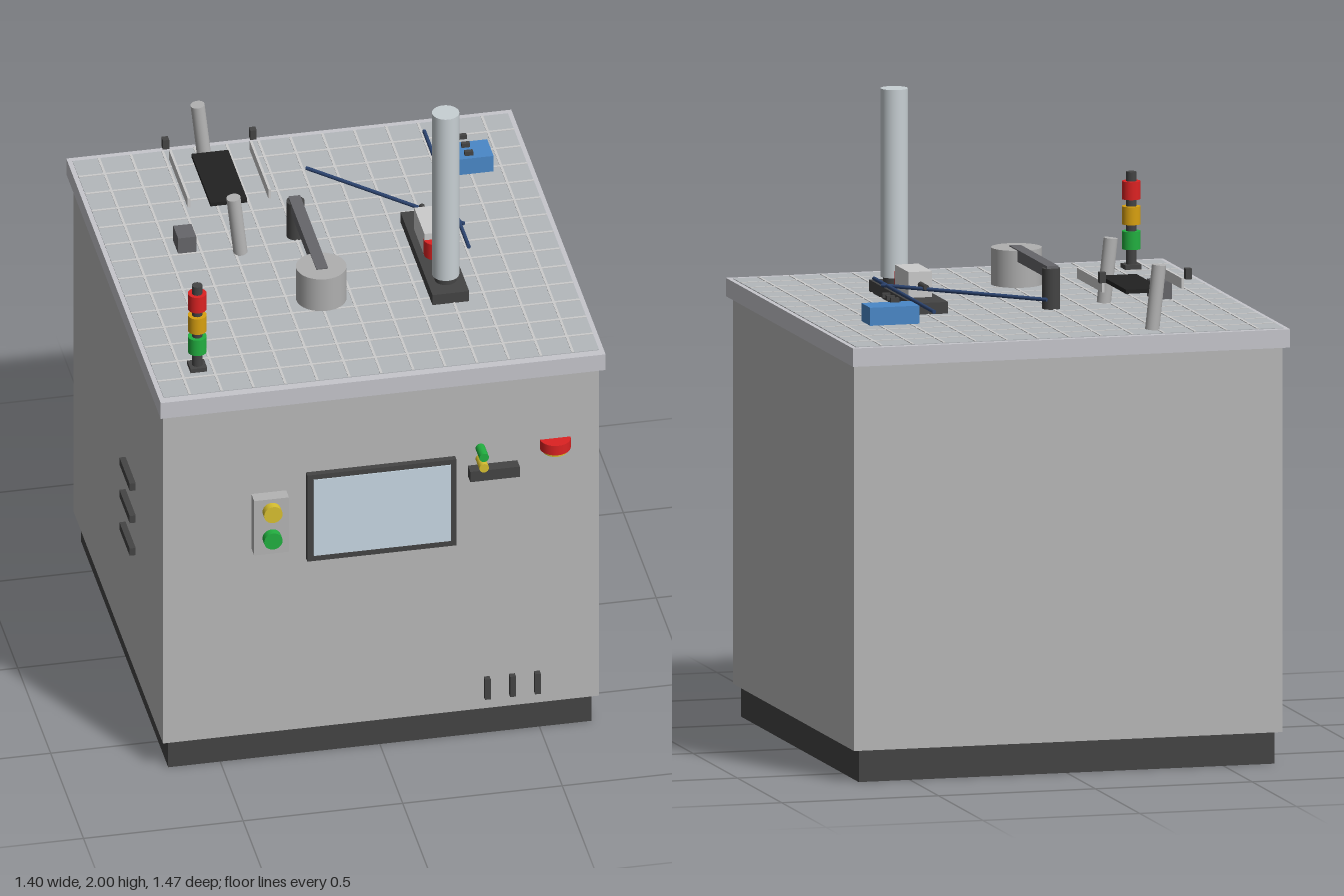
import * as THREE from 'three';

const mat = (color) => new THREE.MeshStandardMaterial({ color });
const grey = mat(0xcccccc), dark = mat(0x444444), black = mat(0x222222), steel = mat(0x808080);
const red = mat(0xdd2222), yellow = mat(0xd8c030), amber = mat(0xd8a010), green = mat(0x22b040);
const blue = mat(0x4a88c8), navy = mat(0x2c4470), glass = mat(0xc8d8e4), mid = mat(0x66666a);

export function createModel() {
  const root = new THREE.Group();

  const add = (name, geo, material, x, y, z, parent = root) => {
    const m = new THREE.Mesh(geo, material);
    m.name = name;
    m.position.set(x, y, z);
    parent.add(m);
    return m;
  };
  // box given by its extents on each axis
  const box = (name, material, [x0, x1], [y0, y1], [z0, z1], parent) =>
    add(name, new THREE.BoxGeometry(x1 - x0, y1 - y0, z1 - z0), material,
      (x0 + x1) / 2, (y0 + y1) / 2, (z0 + z1) / 2, parent);
  // upright cylinder from y0 to y1
  const post = (name, material, r, x, z, y0, y1, parent) =>
    add(name, new THREE.CylinderGeometry(r, r, y1 - y0, 32), material, x, (y0 + y1) / 2, z, parent);
  // round bar between two points
  const rod = (name, material, r, a, b) => {
    const p = new THREE.Vector3(...a), q = new THREE.Vector3(...b);
    const m = add(name, new THREE.CylinderGeometry(r, r, p.distanceTo(q), 24), material, 0, 0, 0);
    m.position.copy(p).add(q).multiplyScalar(0.5);
    m.quaternion.setFromUnitVectors(new THREE.Vector3(0, 1, 0), q.sub(p).normalize());
    return m;
  };

  // cabinet
  box('plinth', dark, [-0.663, 0.663], [0, 0.1], [-0.677, 0.652]);
  box('cabinet', mat(0xb8b8b8), [-0.683, 0.683], [0.1, 1.3], [-0.695, 0.67]);
  box('worktop', mat(0xc6c6cc), [-0.697, 0.697], [1.3, 1.357], [-0.733, 0.703]);

  // worktop tile surface with raised seams
  box('tileSurface', mat(0xb4b8bc), [-0.682, 0.682], [1.355, 1.359], [-0.712, 0.675]);
  const seams = new THREE.Group();
  seams.name = 'tileSeams';
  root.add(seams);
  for (let i = -6; i <= 6; i++) {
    const c = i * 0.1;
    box('seamAlongZ', grey, [c - 0.004, c + 0.004], [1.357, 1.361], [-0.712, 0.675], seams);
    box('seamAlongX', grey, [-0.682, 0.682], [1.357, 1.361], [c - 0.022, c - 0.014], seams);
  }

  // signal tower
  const tower = new THREE.Group();
  tower.name = 'signalTower';
  tower.position.set(-0.547, 0, 0.53);
  root.add(tower);
  box('towerBase', dark, [-0.026, 0.026], [1.357, 1.373], [-0.026, 0.026], tower);
  post('towerPole', dark, 0.016, 0, 0, 1.37, 1.66, tower);
  [[green, 1.42], [amber, 1.497], [red, 1.575]].forEach(([m, y]) =>
    post('towerLamp', m, 0.029, 0, 0, y, y + 0.056, tower));

  // tray with column and carriage
  box('tray', dark, [0.233, 0.348], [1.357, 1.395], [-0.165, 0.322]);
  post('columnFoot', dark, 0.034, 0.291, 0.24, 1.39, 1.42);
  post('column', mat(0xc8d0d4), 0.042, 0.291, 0.24, 1.415, 2);
  box('carriage', grey, [0.254, 0.329], [1.395, 1.475], [-0.058, 0.097]);
  rod('carriageShaft', dark, 0.009, [0.291, 1.435, -0.125], [0.291, 1.435, 0.165]);
  add('carriageNose', new THREE.CylinderGeometry(0.038, 0.038, 0.055, 32), red, 0.291, 1.425, 0.095);

  // swing arm and pot
  post('pot', mat(0xb0b0b0), 0.078, -0.098, 0.236, 1.375, 1.49);
  post('armPivot', dark, 0.028, -0.098, -0.155, 1.357, 1.485);
  box('swingArm', mid, [-0.117, -0.08], [1.456, 1.493], [-0.172, 0.255]);

  // conveyor: belt, side rails, sensors, tilted rollers
  box('belt', black, [-0.35, -0.235], [1.453, 1.466], [-0.513, 0.225 - 0.45]);
  [[-0.418, -0.43], [-0.165, -0.156]].forEach(([x, k]) => {
    box('sideRail', grey, [x - 0.004, x + 0.004], [1.46, 1.493], [-0.508, -0.222]);
    box('railSensor', dark, [k - 0.01, k + 0.01], [1.493, 1.526], [-0.535, -0.512]);
  });
  [-0.64, -0.095].forEach((z) =>
    rod('roller', mat(0xb4b4b4), 0.022, [-0.283, 1.36, z], [-0.305, 1.56, z]));
  box('controlBlock', mid, [-0.477, -0.42], [1.375, 1.43], [-0.175, -0.1]);

  // feed bars and valve block
  rod('straightBar', navy, 0.006, [0.387, 1.43, -0.553], [0.387, 1.43, 0.127]);
  rod('diagonalBar', navy, 0.006, [-0.01, 1.43, -0.418], [0.4, 1.43, -0.008]);
  box('valveBlock', blue, [0.408, 0.565], [1.38, 1.436], [-0.459, -0.361]);
  [-0.458, -0.41, -0.362].forEach((z) =>
    box('valveKnob', dark, [0.474, 0.5], [1.45, 1.464], [z - 0.007, z + 0.007]));

  // front display
  box('displayFrame', dark, [-0.235, 0.232], [0.715, 1.027], [0.665, 0.69]);
  box('displayGlass', glass, [-0.215, 0.215], [0.735, 1.01], [0.68, 0.693]);

  // front push buttons
  box('buttonBox', mat(0xb4b4b4), [-0.406, -0.297], [0.773, 0.97], [0.665, 0.712]);
  [[yellow, 0.928], [green, 0.832]].forEach(([m, y]) =>
    rod('pushButton', m, 0.029, [-0.351, y, 0.7], [-0.351, y, 0.737]));

  // front shelf, indicator lamps and emergency stop
  box('shelf', dark, [0.272, 0.427], [0.95, 0.987], [0.665, 0.708]);
  [[green, 1.047], [yellow, 1.009]].forEach(([m, y]) =>
    rod('indicatorLamp', m, 0.015, [0.311, y, 0.66], [0.311, y, 0.73]));
  post('stopCollar', yellow, 0.038, 0.546, 0.668, 1.006, 1.02);
  post('stopButton', red, 0.048, 0.546, 0.668, 1.018, 1.052);

  // front slots and side vents
  [0.331, 0.41, 0.488].forEach((x) =>
    box('frontSlot', dark, [x - 0.009, x + 0.009], [0.142, 0.215], [0.665, 0.689]));
  [0.54, 0.658, 0.775].forEach((y) =>
    box('sideVent', dark, [-0.702, -0.675], [y - 0.013, y + 0.013], [0.1, 0.255]));

  return root;
}
